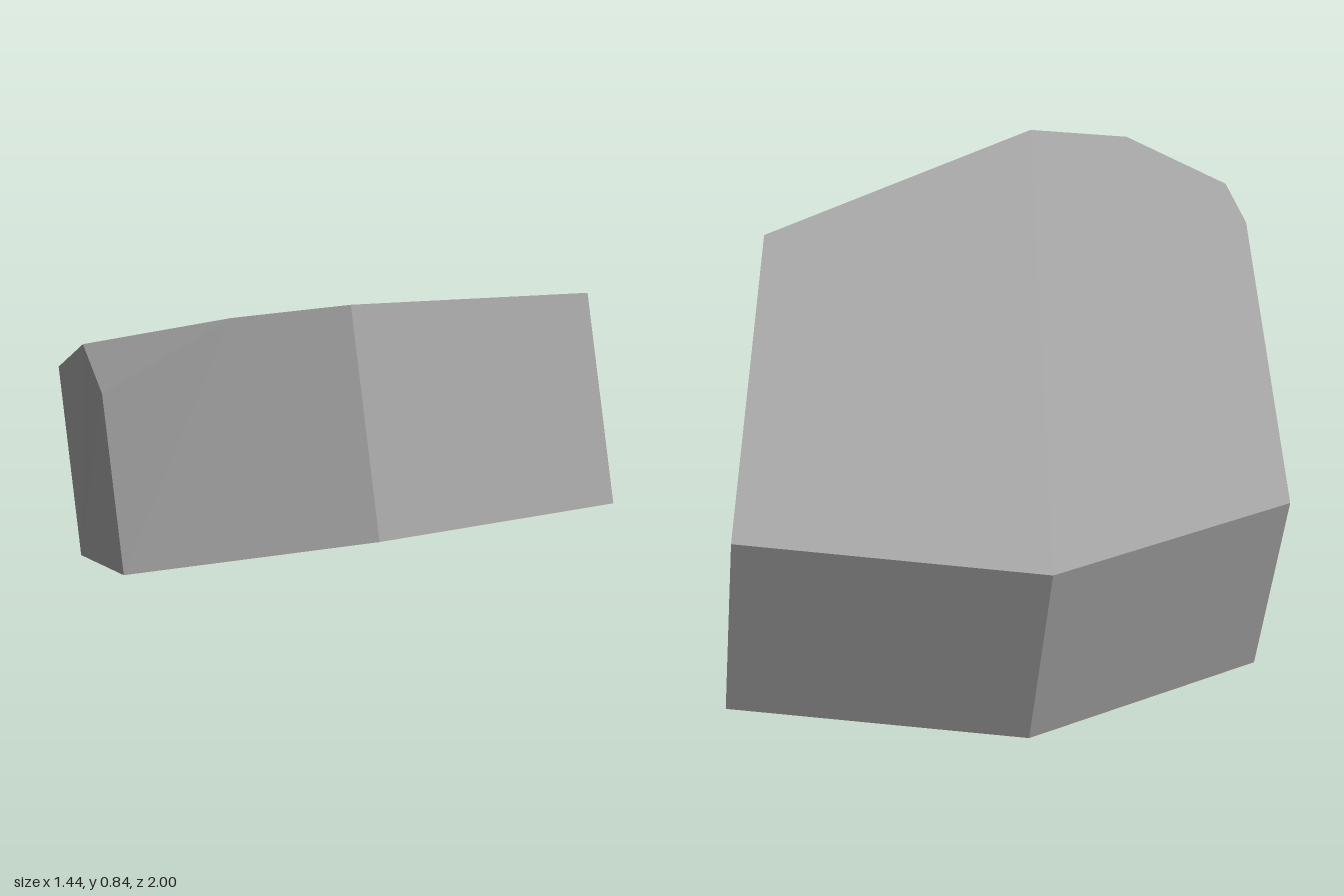
import * as THREE from 'three';

// Bottom outline, running from front right corner round to the back
const base = [
  [-0.49, 0.26, 1.0], [0.08, 0.315, 0.93], [0.72, 0.276, 0.26],
  [0.59, 0.073, -0.91], [-0.13, 0.008, -0.87], [-0.66, 0.002, -0.5],
];
const lift = [-0.06, 0.525, -0.09]; // leaning direction of the side walls

// Flat polygons, corners counter-clockwise from outside, fanned into triangles
function facets(polygons) {
  const positions = [];
  for (const p of polygons) {
    for (let i = 1; i < p.length - 1; i++) positions.push(...p[0], ...p[i], ...p[i + 1]);
  }
  const geometry = new THREE.BufferGeometry();
  geometry.setAttribute('position', new THREE.Float32BufferAttribute(positions, 3));
  geometry.computeVertexNormals();
  return geometry;
}

export function createModel() {
  const stone = new THREE.MeshStandardMaterial({ color: 0xa6a6a6 });
  stone.name = 'stone grey';

  const top = base.map((p) => p.map((v, i) => v + lift[i]));
  // Where the chipped corner meets the corner edge, left wall and front wall
  const chipLow = [-0.535, 0.655, 0.935];
  const chipSide = [-0.595, 0.72, 0.54];
  const chipFront = [-0.25, 0.815, 0.875];

  const walls = [[base[0], base[1], top[1], chipFront, chipLow]];
  for (let i = 1; i < 5; i++) walls.push([base[i], base[i + 1], top[i + 1], top[i]]);
  walls.push([base[5], base[0], chipLow, chipSide, top[5]]);

  const parts = {
    rockWalls: walls,
    rockTop: [[top[1], top[2], top[3], top[4], top[5], chipSide, chipFront]],
    rockBottom: [[...base].reverse()],
    chippedCorner: [[chipLow, chipFront, chipSide]],
  };

  const rock = new THREE.Group();
  rock.name = 'rock';
  for (const [name, polygons] of Object.entries(parts)) {
    const mesh = new THREE.Mesh(facets(polygons), stone);
    mesh.name = name;
    rock.add(mesh);
  }
  return rock;
}
